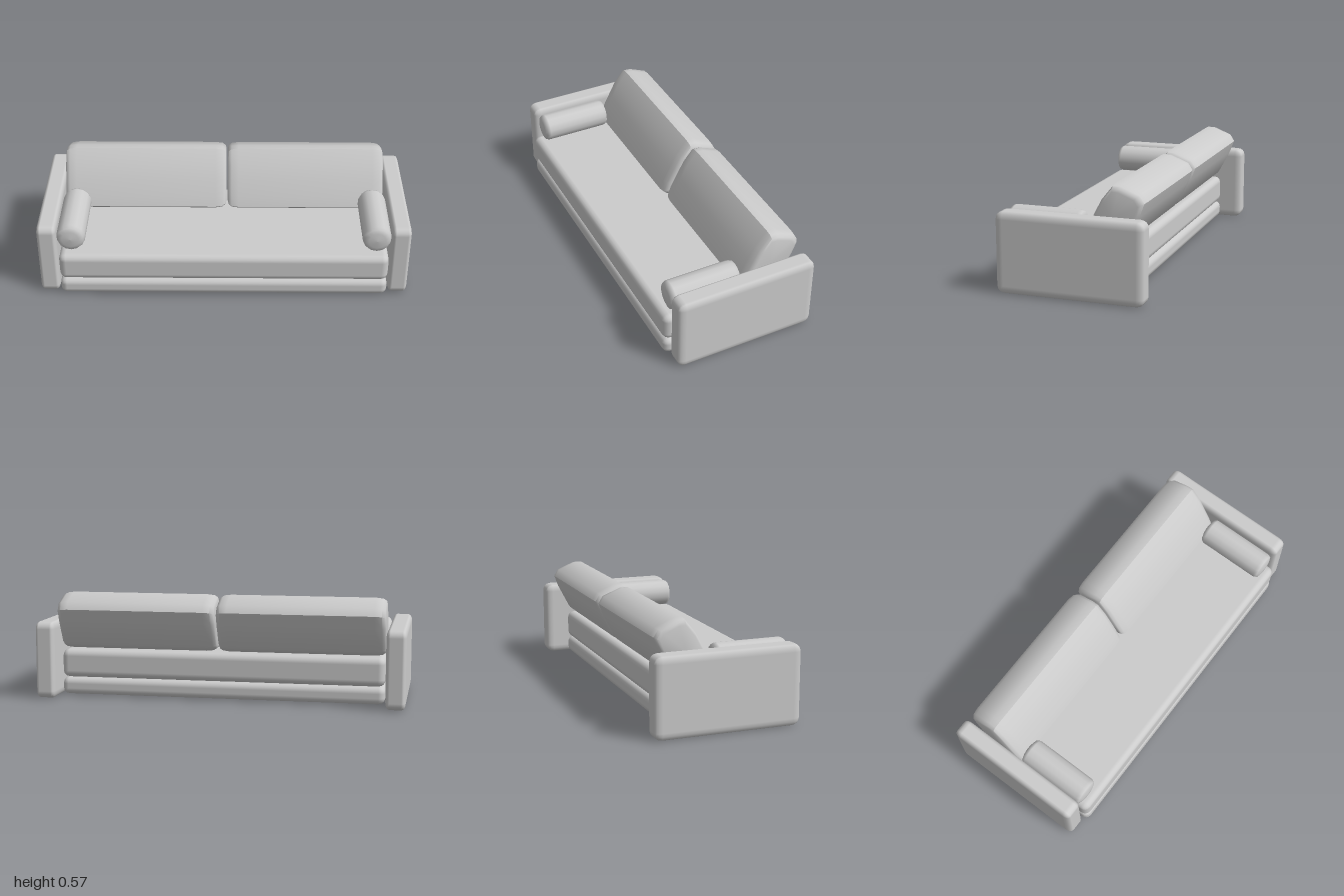
import * as THREE from 'three';
import { RoundedBoxGeometry } from 'three/addons/geometries/RoundedBoxGeometry.js';
import { toCreasedNormals } from 'three/addons/utils/BufferGeometryUtils.js';

const material = new THREE.MeshStandardMaterial({ color: 0xcccccc });

function addPart(group, name, geometry, x = 0, y = 0, z = 0) {
  const mesh = new THREE.Mesh(geometry, material);
  mesh.name = name;
  mesh.position.set(x, y, z);
  group.add(mesh);
  return mesh;
}

// Rounded slab; squash narrows the rounding along x
function slab(w, h, d, r, squash = 1) {
  return new RoundedBoxGeometry(w / squash, h, d, 2, r).scale(squash, 1, 1);
}

// Leaning cushion: side profile as [z, y], lofted along x with tucked-in ends
const cushionProfile = [
  [-0.06, 0.265], [-0.037, 0.285], [-0.058, 0.34], [-0.1, 0.42], [-0.14, 0.495],
  [-0.2, 0.569], [-0.24, 0.567], [-0.34, 0.527], [-0.365, 0.487], [-0.34, 0.42],
  [-0.272, 0.29], [-0.24, 0.265],
];

function cushionGeometry(x0, x1) {
  const centre = [-0.2, 0.41];
  const stations = [
    [x0, 0.8], [x0 + 0.005, 0.9], [x0 + 0.022, 0.97], [x0 + 0.06, 1],
    [x1 - 0.06, 1], [x1 - 0.022, 0.97], [x1 - 0.005, 0.9], [x1, 0.8],
  ];
  const n = cushionProfile.length;
  const positions = [];
  const index = [];
  for (const [x, s] of stations) {
    for (const [z, y] of cushionProfile) {
      positions.push(x, centre[1] + (y - centre[1]) * s, centre[0] + (z - centre[0]) * s);
    }
  }
  for (let i = 0; i < stations.length - 1; i++) {
    for (let j = 0; j < n; j++) {
      const a = i * n + j;
      const b = i * n + ((j + 1) % n);
      index.push(a, a + n, b, b, a + n, b + n);
    }
  }
  // End caps
  const first = positions.length / 3;
  positions.push(x0, centre[1], centre[0], x1, centre[1], centre[0]);
  const last = (stations.length - 1) * n;
  for (let j = 0; j < n; j++) {
    const k = (j + 1) % n;
    index.push(first, j, k, first + 1, last + k, last + j);
  }
  const geometry = new THREE.BufferGeometry();
  geometry.setAttribute('position', new THREE.Float32BufferAttribute(positions, 3));
  geometry.setIndex(index);
  return toCreasedNormals(geometry, 0.8);
}

// Bolster with softly domed ends, lying along z
function bolsterGeometry(radius, length) {
  const h = length / 2;
  const points = [
    [0, -h], [radius * 0.6, -h + 0.004], [radius * 0.9, -h + 0.012], [radius, -h + 0.03],
    [radius, h - 0.03], [radius * 0.9, h - 0.012], [radius * 0.6, h - 0.004], [0, h],
  ].map(([r, y]) => new THREE.Vector2(r, y));
  return new THREE.LatheGeometry(points, 14).rotateX(Math.PI / 2);
}

export function createModel() {
  const sofa = new THREE.Group();
  sofa.name = 'sofa';

  // Base and seat
  addPart(sofa, 'base', slab(1.775, 0.095, 0.68, 0.035), 0, 0.0525, 0.06);
  addPart(sofa, 'seat', slab(1.775, 0.157, 0.68, 0.038), 0, 0.1785, 0.06);

  // Back cushions
  addPart(sofa, 'rightBackCushion', cushionGeometry(-0.89, 0.01));
  addPart(sofa, 'leftBackCushion', cushionGeometry(0.018, 0.887));

  // Arms and bolsters
  for (const [side, s] of [['left', 1], ['right', -1]]) {
    addPart(sofa, side + 'Arm', slab(0.106, 0.42, 0.775, 0.04, 0.55), s * 0.947, 0.21, -0.0125);
    addPart(sofa, side + 'Bolster', bolsterGeometry(0.077, 0.405), s * 0.819, 0.343, 0.163);
  }
  return sofa;
}
